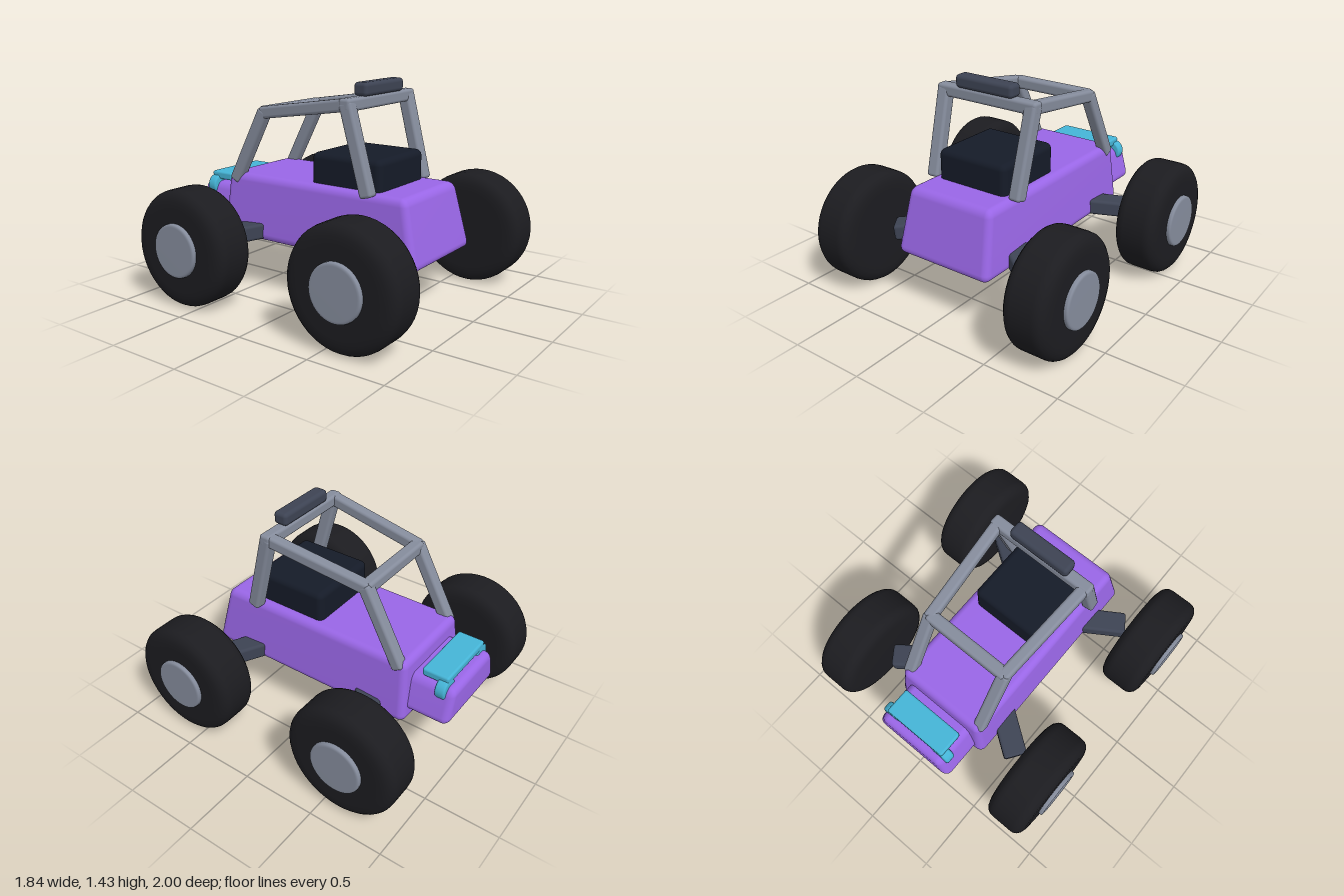
import * as THREE from 'three';
import { RoundedBoxGeometry } from 'three/addons/geometries/RoundedBoxGeometry.js';
import { mergeVertices } from 'three/addons/utils/BufferGeometryUtils.js';

const mat = (color) => new THREE.MeshStandardMaterial({ color });

export function createModel() {
  const model = new THREE.Group();
  const purple = mat(0x9966e6), teal = mat(0x45b4d6), steel = mat(0x858c9c);
  const slate = mat(0x3d4353), navy = mat(0x151b28), rubber = mat(0x1c1c20);

  const add = (name, geometry, material, x = 0, y = 0, z = 0) => {
    const mesh = new THREE.Mesh(geometry, material);
    mesh.name = name;
    mesh.position.set(x, y, z);
    model.add(mesh);
    return mesh;
  };

  const box = (w, h, d, r) => new RoundedBoxGeometry(w, h, d, 3, r);

  // Rounded box that narrows towards its top: side, front and back insets
  const taperedBox = (w, h, d, r, side, front, back) => {
    let g = box(w, h, d, r);
    g.deleteAttribute('normal');
    g.deleteAttribute('uv');
    g = mergeVertices(g, 1e-4);
    const p = g.attributes.position;
    for (let i = 0; i < p.count; i++) {
      const t = p.getY(i) / h + 0.5;
      const z = p.getZ(i);
      p.setX(i, p.getX(i) * (1 - (t * side) / (w / 2)));
      p.setZ(i, z - (z / d + 0.5) * front * t + (0.5 - z / d) * back * t);
    }
    g.computeVertexNormals();
    return g;
  };

  // Rounded bar between two points
  const bar = (name, a, b, w, h, material, r = 0.02, extra = 0) => {
    const from = new THREE.Vector3(...a), to = new THREE.Vector3(...b);
    const mesh = add(name, box(w, h, from.distanceTo(to) + extra, r), material);
    mesh.position.copy(from).add(to).multiplyScalar(0.5);
    mesh.lookAt(to);
    return mesh;
  };

  // Body, tail and seat
  add('body', taperedBox(0.72, 0.43, 1.52, 0.05, 0.045, 0.1, 0.03), purple, 0, 0.565, 0.03);
  add('tail', taperedBox(0.62, 0.24, 0.42, 0.05, 0.07, 0, 0), purple, 0, 0.55, -0.79);
  add('seat', box(0.515, 0.26, 0.52, 0.04), navy, 0, 0.845, 0.22);

  // Rear deck plate
  add('deckPlate', box(0.455, 0.055, 0.18, 0.015), teal, 0, 0.71, -0.855);

  // Round lamp with softened rims, shared by both sides
  const lampProfile = [[0, -0.035], [0.058, -0.035], [0.067, -0.03], [0.07, -0.02],
    [0.07, 0.02], [0.067, 0.03], [0.058, 0.035], [0, 0.035]];
  const lamp = new THREE.LatheGeometry(lampProfile.map(([r, y]) => new THREE.Vector2(r, y)), 28);
  lamp.rotateX(Math.PI / 2);

  // Tyre and hub profiles: radius, offset along the axle
  const tyreProfile = [[0, -0.147], [0.27, -0.147], [0.315, -0.143], [0.345, -0.133],
    [0.366, -0.115], [0.377, -0.095], [0.38, -0.07], [0.38, 0.07], [0.377, 0.095],
    [0.366, 0.115], [0.345, 0.133], [0.315, 0.143], [0.27, 0.147], [0, 0.147]];
  const hubProfile = [[0.175, 0], [0.175, 0.16], [0.172, 0.168], [0.165, 0.172], [0.155, 0.173], [0, 0.173]];
  const lathe = (profile) => new THREE.LatheGeometry(
    profile.map(([r, y]) => new THREE.Vector2(r, y)), 48).rotateZ(-Math.PI / 2);
  const tyre = lathe(tyreProfile), hub = lathe(hubProfile);

  for (const s of [1, -1]) {
    const side = s > 0 ? 'left' : 'right';
    add(side + 'Lamp', lamp, teal, s * 0.205, 0.642, -0.912);

    // Wheels and suspension arms
    for (const f of [1, -1]) {
      const end = side + (f > 0 ? 'Front' : 'Rear');
      const wheel = new THREE.Group();
      wheel.name = end + 'Wheel';
      const tyreMesh = new THREE.Mesh(tyre, rubber);
      tyreMesh.name = 'tyre';
      const hubMesh = new THREE.Mesh(hub, steel);
      hubMesh.name = 'hub';
      wheel.add(tyreMesh, hubMesh);
      wheel.position.set(s * 0.747, 0.38, f > 0 ? 0.62 : -0.615);
      if (s < 0) wheel.rotation.y = Math.PI;
      model.add(wheel);
      bar(end + 'Arm', [s * 0.2, 0.43, f * 0.36], [s * 0.547, 0.385, f * 0.602], 0.155, 0.105, slate);
    }

    // Roll cage sides
    const frontTop = [s * 0.333, 1.305, 0.295], rearTop = [s * 0.287, 1.2, -0.395];
    bar(side + 'FrontPost', [s * 0.322, 0.78, 0.435], frontTop, 0.085, 0.085, steel, 0.02, 0.04);
    bar(side + 'RoofRail', frontTop, rearTop, 0.075, 0.08, steel, 0.02, 0.04);
    bar(side + 'RearPost', [s * 0.29, 0.74, -0.64], rearTop, 0.08, 0.08, steel, 0.02, 0.04);
  }

  // Roll cage cross bars and the lamp bar on the roof
  add('frontCrossBar', box(0.75, 0.08, 0.08, 0.02), steel, 0, 1.305, 0.295);
  add('rearCrossBar', box(0.6, 0.08, 0.08, 0.02), steel, 0, 1.2, -0.395);
  add('roofLampBar', box(0.43, 0.085, 0.1, 0.025), slate, 0, 1.385, 0.3);

  return model;
}
